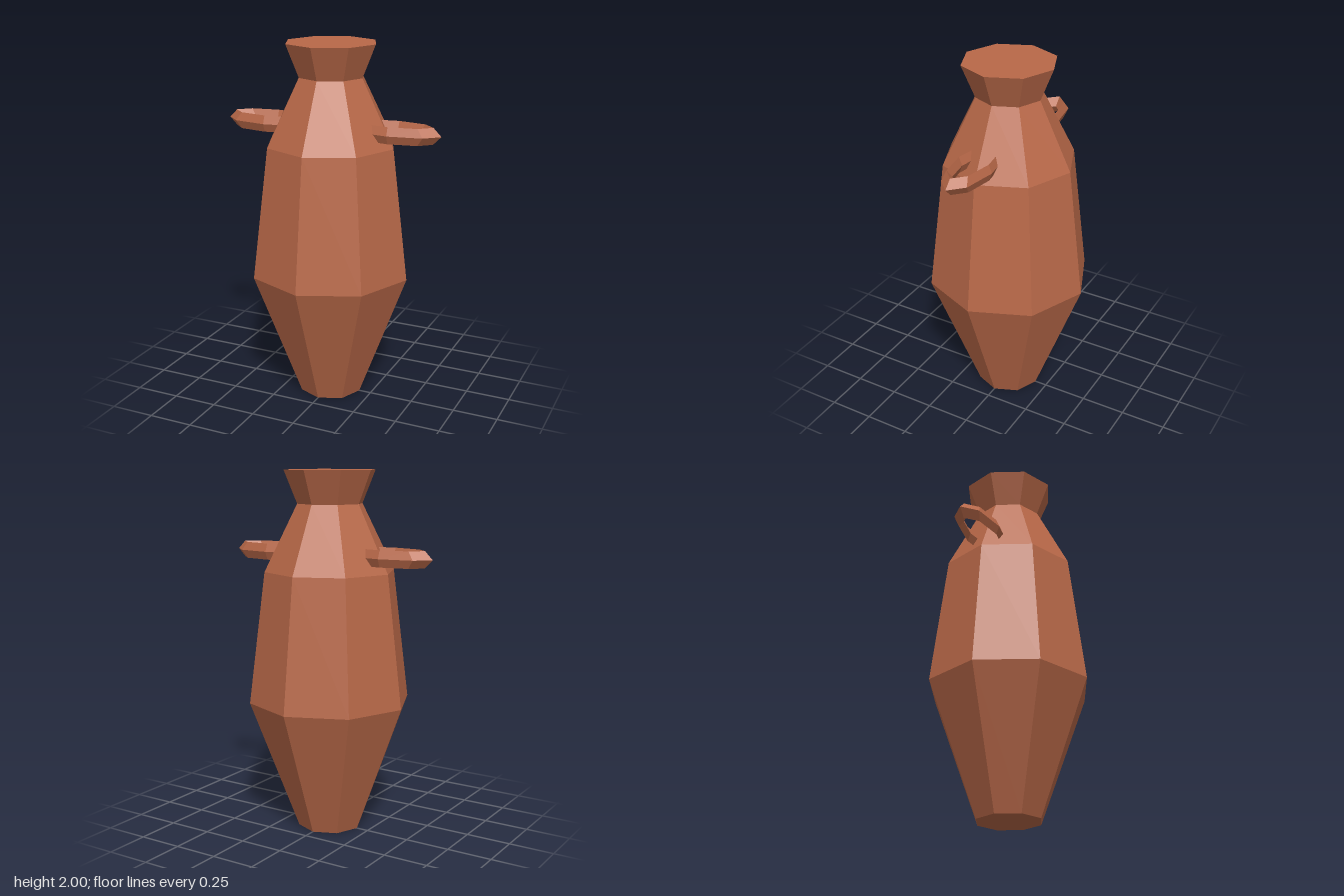
import * as THREE from 'three';

const SIDES = 8;

export function createModel() {
  const model = new THREE.Group();
  model.name = 'amphora';

  const terracotta = new THREE.MeshStandardMaterial({ color: 0xb86848, flatShading: true });
  terracotta.name = 'terracotta';

  // Adds a mesh with one normal per facet
  function addPart(name, geometry) {
    const faceted = geometry.toNonIndexed();
    faceted.computeVertexNormals();
    const mesh = new THREE.Mesh(faceted, terracotta);
    mesh.name = name;
    model.add(mesh);
    return mesh;
  }

  // Eight-sided turned shape from [radius, height] pairs, bottom to top
  const turned = (profile) =>
    new THREE.LatheGeometry(profile.map(([r, y]) => new THREE.Vector2(r, y)), SIDES);

  // Belly tapering to a narrow foot, with sloping shoulders
  addPart('body', turned([[0, 0], [0.18, 0], [0.453, 0.73], [0.363, 1.456], [0.181, 1.82]]));

  // Flared neck closed by a flat top
  addPart('neck', turned([[0.181, 1.82], [0.254, 2], [0, 2]]));

  // Flattened ring handles, half sunk into the shoulders
  for (const side of [1, -1]) {
    const ring = new THREE.TorusGeometry(0.22, 0.045, 4, SIDES);
    ring.rotateX(Math.PI / 2).scale(1, 1, 0.396);
    const handle = addPart(side > 0 ? 'leftHandle' : 'rightHandle', ring);
    handle.position.set(side * 0.36, 1.547, 0);
  }

  return model;
}
